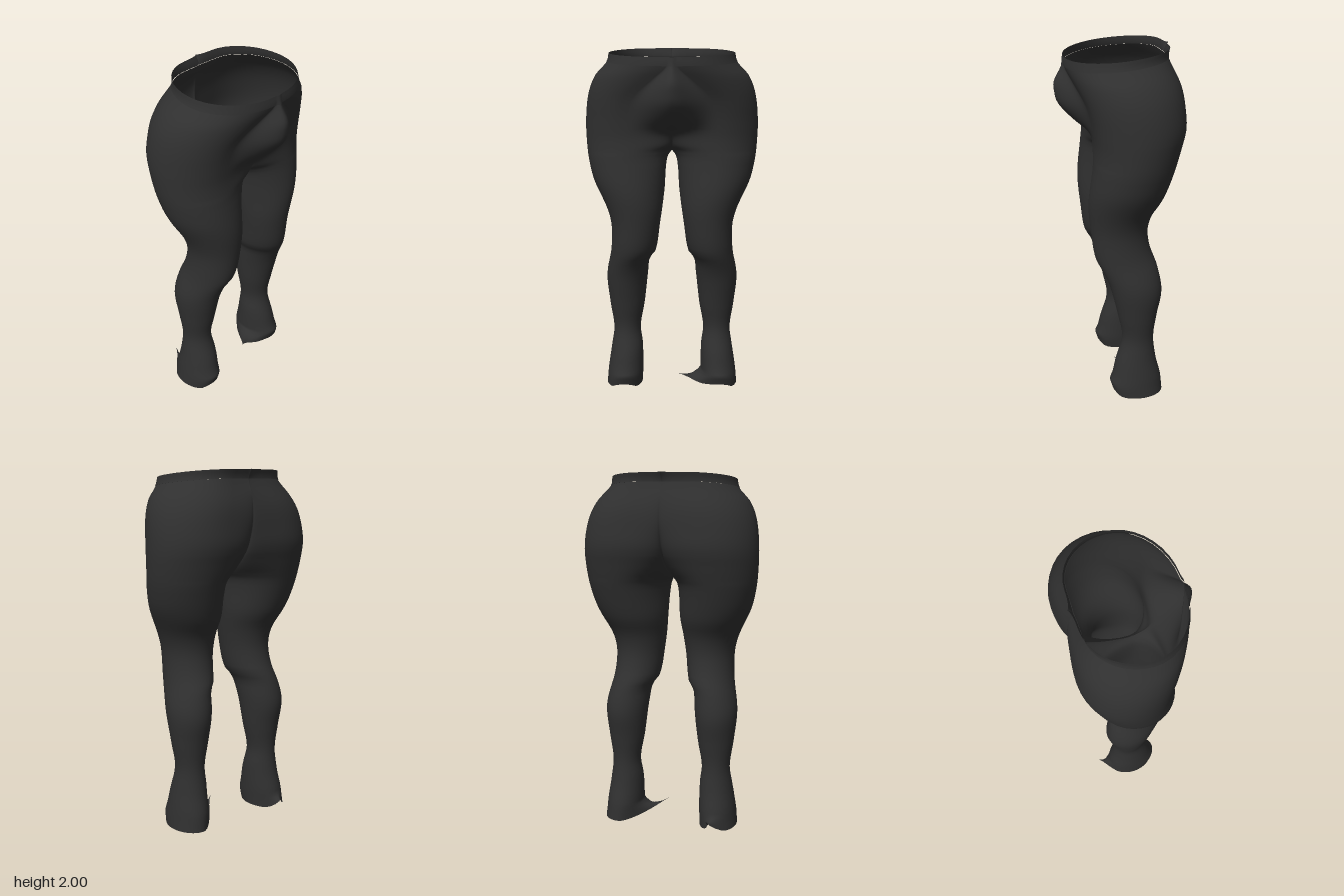
import * as THREE from 'three';
import { mergeGeometries, mergeVertices } from 'three/addons/utils/BufferGeometryUtils.js';

// Smooth curve through [height, value] pairs, heights rising
function curve(p) {
  const slope = (i) => {
    const a = p[Math.max(i - 1, 0)], b = p[Math.min(i + 1, p.length - 1)];
    return (b[1] - a[1]) / (b[0] - a[0]);
  };
  return (y) => {
    if (y <= p[0][0]) return p[0][1];
    for (let i = 0; i < p.length - 1; i++) {
      if (y > p[i + 1][0]) continue;
      const h = p[i + 1][0] - p[i][0], t = (y - p[i][0]) / h, t2 = t * t, t3 = t2 * t;
      return (2 * t3 - 3 * t2 + 1) * p[i][1] + (t3 - 2 * t2 + t) * h * slope(i)
        + (3 * t2 - 2 * t3) * p[i + 1][1] + (t3 - t2) * h * slope(i + 1);
    }
    return p[p.length - 1][1];
  };
}

const CROTCH = 1.43, BAND = 1.925, RIM = 1.972, Q = 9;
const smooth = THREE.MathUtils.smoothstep, lerp = THREE.MathUtils.lerp;

// Silhouette of one leg and hip
const outer = curve([[0, .395], [.1, .385], [.25, .362], [.35, .35], [.5, .37], [.68, .386], [.85, .355], [1, .35],
  [1.1, .375], [1.25, .447], [1.35, .475], [1.45, .49], [1.6, .495], [1.75, .475], [1.85, .43], [1.925, .362], [1.972, .35]]);
const inner = curve([[0, .18], [.1, .175], [.25, .178], [.35, .19], [.5, .165], [.7, .142], [.79, .13], [.84, .095],
  [1, .07], [1.2, .043], [1.34, .034], [1.4, .022], [1.43, 0]]);
const front = curve([[0, .07], [.06, .085], [.12, .068], [.2, .05], [.35, .01], [.5, .035], [.6, .058], [.7, .085], [.77, .115],
  [.85, .155], [1, .177], [1.18, .19], [1.4, .165], [1.53, .16], [1.7, .19], [1.85, .255], [1.925, .285], [1.972, .28]]);
const back = curve([[0, -.225], [.1, -.215], [.2, -.19], [.35, -.172], [.5, -.19], [.65, -.215], [.8, -.19], [.9, -.155],
  [1, -.14], [1.1, -.16], [1.2, -.215], [1.4, -.28], [1.5, -.31], [1.6, -.335], [1.7, -.33], [1.8, -.312], [1.925, -.255], [1.972, -.265]]);

// Belly and cleft along the middle, and where the front and back crests sit
const belly = curve([[1.43, .02], [1.46, .09], [1.53, .155], [1.6, .24], [1.69, .32], [1.76, .338], [1.83, .338], [1.925, .295], [1.972, .285]]);
const cleft = curve([[1.43, .02], [1.46, -.07], [1.5, -.15], [1.57, -.235], [1.66, -.28], [1.75, -.3], [1.85, -.29], [1.925, -.26], [1.972, -.285]]);
const frontCrest = curve([[1.43, .245], [1.6, .25], [1.72, .22], [1.85, .1], [1.925, .03], [1.972, .03]]);
const backCrest = curve([[1.43, .245], [1.6, .22], [1.75, .2], [1.925, .12], [1.972, .1]]);

// One half section, from the front middle around the outside to the back middle
function section(y, grow) {
  const body = y >= CROTCH;
  const xo = outer(y) + grow, zf = front(y) + grow, zb = back(y) - grow;
  const xi = body ? 0 : inner(y), cz = (zf + zb) / 2;
  const mid = cz + lerp(0, .02 - (front(CROTCH) + back(CROTCH)) / 2, smooth(y, 1.15, CROTCH));
  const cf = body ? frontCrest(y) : (xi + xo) / 2, cb = body ? backCrest(y) : (xi + xo) / 2;
  const ef = body ? belly(y) + grow : mid, eb = body ? cleft(y) - grow : mid;
  const w = smooth(y, 1.45, 1.62), tilt = .1 * smooth(y, 1.7, 1.95);
  const pts = [];
  for (let j = 0; j <= 4 * Q; j++) {
    const u = (j % Q) / Q, s = Math.sin(u * Math.PI / 2), c = Math.cos(u * Math.PI / 2);
    let x, z;
    if (j < Q) {
      x = lerp(cf - (cf - xi) * c, cf * u, w * (body ? 1 : 0));
      z = ef + (zf - ef) * lerp(s, smooth(u, 0, 1), w);
    } else if (j < 2 * Q) {
      x = cf + (xo - cf) * s; z = cz + (zf - cz) * c;
    } else if (j < 3 * Q) {
      x = cb + (xo - cb) * c; z = cz + (zb - cz) * s;
    } else if (j < 4 * Q) {
      x = cb - (cb - xi) * s; z = eb + (zb - eb) * c;
    } else {
      x = xi; z = eb;
    }
    // waist tilts down to the front, the hem lifts over the toe
    const lift = Math.max(0, z - .03) * .7 * (1 - smooth(y, 0, .12));
    pts.push(new THREE.Vector3(x, y - tilt * z + lift, z));
  }
  return pts;
}

// Draws a pointed tuft of cloth out of the hem
function pullHem(pts, y, tip, at, reach) {
  const n = 4 * Q;
  pts.forEach((p, j) => {
    const d = Math.min(Math.abs(j - at), n - Math.abs(j - at));
    const k = Math.pow(Math.max(0, 1 - d / reach), 1.6) * Math.max(0, 1 - y / .08);
    p.lerp(tip, k);
  });
}

function half(heights, side, grow = 0) {
  const pos = [], index = [], n = 4 * Q + 1;
  heights.forEach((y, i) => {
    const pts = section(y, grow);
    if (side > 0) pullHem(pts, y, new THREE.Vector3(.04, .08, .02), 0, 8);
    else pullHem(pts, y, new THREE.Vector3(.26, .08, -.285), 3 * Q, 4);
    for (const p of pts) pos.push(p.x * side, p.y, p.z);
    if (i === heights.length - 1) return;
    for (let j = 0; j < n - 1; j++) {
      const a = i * n + j, b = a + 1, c = a + n, d = c + 1;
      if (side > 0) index.push(a, b, c, b, d, c);
      else index.push(a, c, b, b, c, d);
    }
  });
  const g = new THREE.BufferGeometry();
  g.setAttribute('position', new THREE.Float32BufferAttribute(pos, 3));
  g.setIndex(index);
  return g;
}

// Both halves welded along the middle seam
function garment(heights, grow) {
  const g = mergeVertices(mergeGeometries([half(heights, 1, grow), half(heights, -1, grow)]), 1e-4);
  g.computeVertexNormals();
  return g;
}

const steps = (a, b, n) => Array.from({ length: n + 1 }, (_, i) => a + (b - a) * i / n);

export function createModel() {
  const group = new THREE.Group();
  const cloth = new THREE.MeshStandardMaterial({ color: 0x303030, side: THREE.DoubleSide });
  cloth.name = 'charcoal cloth';
  const add = (name, geometry) => {
    const mesh = new THREE.Mesh(geometry, cloth);
    mesh.name = name;
    group.add(mesh);
  };

  // legs and hips
  add('leggings', garment([...steps(0, .1, 5), ...steps(.13, 1.36, 40), ...steps(1.37, CROTCH, 6),
    ...steps(CROTCH + .01, 1.56, 10), ...steps(1.585, BAND, 14)], 0));
  // waistband
  add('waistband', garment(steps(BAND, RIM, 3), .003));
  return group;
}
